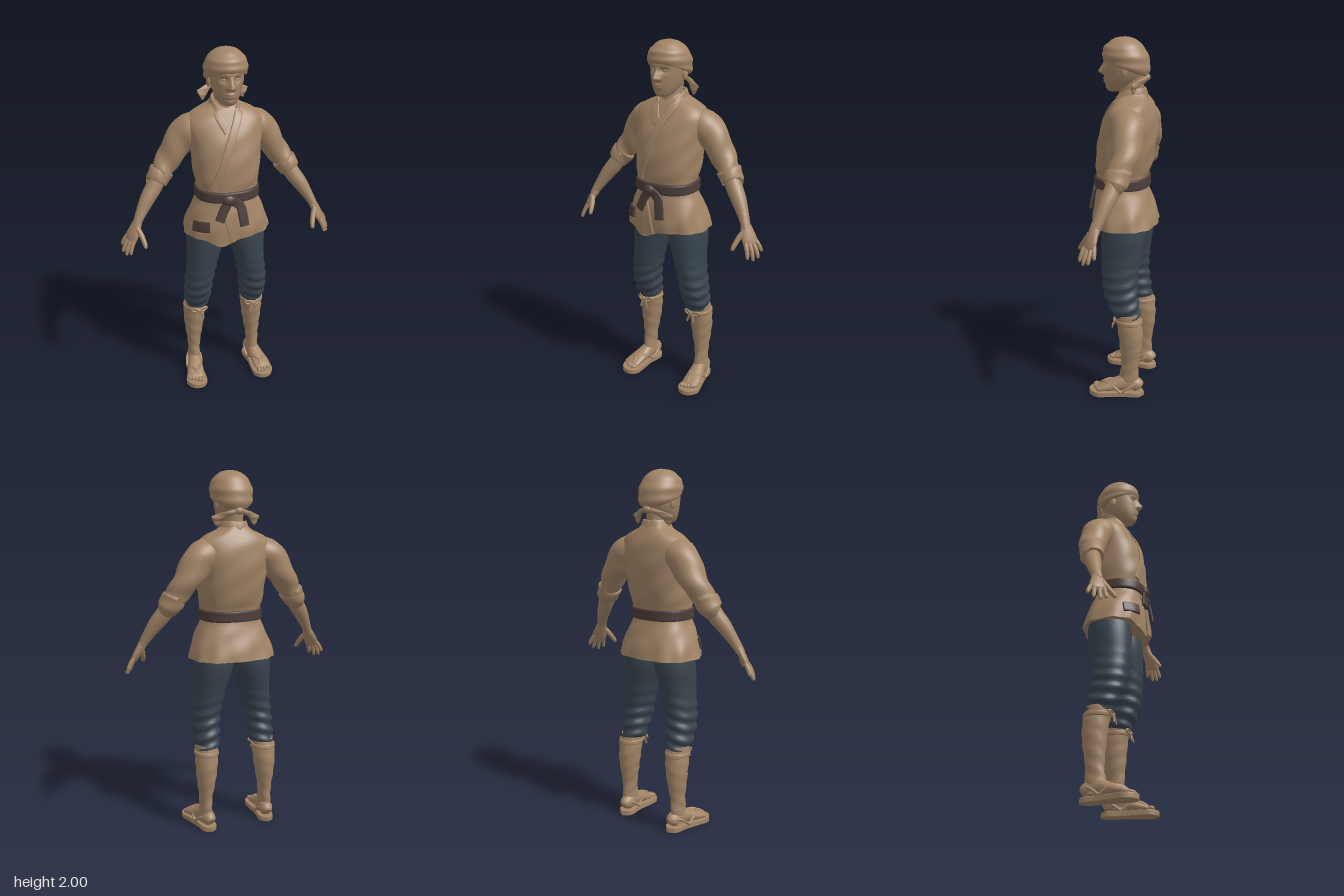
import * as THREE from 'three';

const V = (x, y, z) => new THREE.Vector3(x, y, z);
const material = (name, color) => {
  const m = new THREE.MeshStandardMaterial({ color });
  m.name = name;
  return m;
};
const clamp = THREE.MathUtils.clamp;
const bell = (d, w) => Math.exp(-(d * d) / (w * w));

// Smooth interpolation of a list of cross-section rows
function densify(rows, k) {
  const out = [], at = i => rows[clamp(i, 0, rows.length - 1)];
  for (let i = 0; i < rows.length - 1; i++) for (let s = 0; s < k; s++) {
    const t = s / k;
    out.push(rows[i].map((b, c) => {
      const a = at(i - 1)[c], d = at(i + 1)[c], e = at(i + 2)[c];
      return 0.5 * (2 * b + (d - a) * t + (2 * a - 5 * b + 4 * d - e) * t * t + (3 * b - a - 3 * d + e) * t * t * t);
    }));
  }
  out.push(rows[rows.length - 1]);
  return out;
}

// Rows are [x, y, z, half width, half depth]; depth runs along ref
function loft(rows, { k = 4, n = 24, e = 2, flat = false, ref = V(0, 0, 1), mod } = {}) {
  const D = densify(rows, k), m = D.length, pos = [], idx = [];
  const centre = r => V(r[0], r[1], r[2]);
  const pw = v => Math.sign(v) * Math.pow(Math.abs(v), 2 / e);
  D.forEach((r, i) => {
    const c = centre(r);
    const t = flat ? V(0, 1, 0) : centre(D[Math.min(i + 1, m - 1)]).sub(centre(D[Math.max(i - 1, 0)])).normalize();
    const f = (typeof ref === 'function' ? ref(c) : ref).clone();
    f.addScaledVector(t, -f.dot(t)).normalize();
    const s = t.clone().cross(f);
    for (let j = 0; j < n; j++) {
      const a = (j / n) * Math.PI * 2;
      const out = s.clone().multiplyScalar(r[3] * pw(Math.cos(a))).addScaledVector(f, r[4] * pw(Math.sin(a)));
      const p = c.clone().add(out);
      if (mod) mod(p, out.normalize(), a, i / (m - 1));
      pos.push(p.x, p.y, p.z);
    }
  });
  for (let i = 0; i < m - 1; i++) for (let j = 0; j < n; j++) {
    const a = i * n + j, b = i * n + (j + 1) % n;
    idx.push(a, a + n, b, b, a + n, b + n);
  }
  // End caps with their own vertices
  for (const [row, end] of [[0, false], [m - 1, true]]) {
    const o = pos.length / 3;
    pos.push(...pos.slice(row * n * 3, (row + 1) * n * 3), ...D[row].slice(0, 3));
    for (let j = 0; j < n; j++) {
      const a = o + j, b = o + (j + 1) % n;
      idx.push(o + n, end ? b : a, end ? a : b);
    }
  }
  const g = new THREE.BufferGeometry();
  g.setAttribute('position', new THREE.Float32BufferAttribute(pos, 3));
  g.setIndex(idx);
  g.computeVertexNormals();
  return g;
}

// Horizontal rows [y, half width, front z, back z, centre x]
const level = rows => rows.map(([y, rx, zf, zb, x = 0]) => [x, y, (zf + zb) / 2, rx, (zf - zb) / 2]);

function mirrored(geo) {
  const g = geo.clone().scale(-1, 1, 1);
  const ids = g.index ? Array.from(g.index.array) : Array.from({ length: g.attributes.position.count }, (_, i) => i);
  for (let i = 0; i < ids.length; i += 3) [ids[i + 1], ids[i + 2]] = [ids[i + 2], ids[i + 1]];
  g.setIndex(ids);
  g.computeVertexNormals();
  return g;
}

export function createModel() {
  const model = new THREE.Group();
  model.name = 'villager';
  const tan = material('tan', 0xa28466), navy = material('dark blue', 0x38444d), brown = material('dark brown', 0x4b3d39);
  const add = (name, geo, mat = tan) => {
    const mesh = new THREE.Mesh(geo, mat);
    mesh.name = name;
    model.add(mesh);
  };
  const pair = (name, geo, mat = tan) => {
    add('left' + name, geo, mat);
    add('right' + name, mirrored(geo), mat);
  };
  const ball = (x, y, z, sx, sy, sz) => new THREE.SphereGeometry(1, 16, 12).scale(sx, sy, sz).translate(x, y, z);

  // Jacket body
  const E = 2.4;
  const jacketRows = level([[0.985, 0.24, 0.165, -0.188], [1.05, 0.225, 0.168, -0.175], [1.13, 0.195, 0.158, -0.15],
    [1.195, 0.166, 0.146, -0.128], [1.255, 0.166, 0.148, -0.13], [1.32, 0.178, 0.154, -0.15], [1.42, 0.187, 0.146, -0.168],
    [1.52, 0.198, 0.122, -0.175], [1.6, 0.212, 0.085, -0.165], [1.65, 0.175, 0.055, -0.15], [1.69, 0.095, 0.03, -0.13],
    [1.72, 0.062, 0.005, -0.112]]);
  add('jacket', loft(jacketRows, { k: 5, n: 72, e: E, flat: true, mod: (p, out, a) => {
    const k = clamp((1.12 - p.y) / 0.13, 0, 1);
    p.addScaledVector(out, 0.005 * k * Math.sin(a * 11) + 0.002 * Math.sin(p.y * 45 + a * 5));
    if (p.z > 0) p.y -= 0.045 * k * bell(p.x + 0.06, 0.075);
  } }));

  // Depth and normal of the jacket front, for the parts that lie on it
  const dense = densify(jacketRows, 10);
  const frontZ = (x, y) => {
    const r = dense.reduce((b, q) => Math.abs(q[1] - y) < Math.abs(b[1] - y) ? q : b);
    return r[2] + r[4] * Math.pow(Math.max(0, 1 - Math.pow(Math.abs(x / r[3]), E)), 1 / E);
  };
  const frontNormal = p => {
    if (p.y > 1.67) return V(p.x, 0.02, p.z + 0.05).normalize();
    const h = 0.02, dx = (frontZ(p.x + h, p.y) - frontZ(p.x - h, p.y)) / (2 * h), dy = (frontZ(p.x, p.y + h) - frontZ(p.x, p.y - h)) / (2 * h);
    return V(clamp(-dx, -1.5, 1.5), clamp(-dy, -1, 1), 1).normalize();
  };
  const ribbon = (points, half, thick, lift, lead = []) => loft(
    [...lead, ...points.map(([x, y]) => [x, y, frontZ(x, y) + lift])].map(p => [...p, half, thick]),
    { k: 5, n: 16, e: 4, ref: frontNormal });

  // Crossed lapels, running round the back of the neck
  const collar = s => [[-0.01 * s, 1.712, -0.116], [0.045 * s, 1.715, -0.1], [0.07 * s, 1.71, -0.05], [0.068 * s, 1.69, 0.0]];
  add('outerLapel', ribbon([[0.048, 1.64], [0, 1.54], [-0.05, 1.41], [-0.1, 1.27]], 0.022, 0.008, 0.004, collar(1)));
  add('innerLapel', ribbon([[-0.048, 1.64], [-0.012, 1.57]], 0.022, 0.007, 0.001, collar(-1)));
  add('skirtEdge', ribbon([[-0.06, 1.18], [-0.03, 1.08], [-0.005, 0.965]], 0.015, 0.006, 0.002));
  add('patch', ribbon([[-0.205, 1.055], [-0.17, 1.058], [-0.13, 1.06]], 0.03, 0.008, 0.004), brown);

  // Belt with knot and hanging ends
  add('belt', loft(level([[1.195, 0.168, 0.15, -0.132], [1.2, 0.177, 0.161, -0.14], [1.225, 0.177, 0.162, -0.14],
    [1.25, 0.176, 0.16, -0.14], [1.255, 0.167, 0.15, -0.132]]), { n: 64, e: E, flat: true }), brown);
  add('beltKnot', ball(-0.025, 1.215, 0.165, 0.036, 0.03, 0.02), brown);
  add('beltEndA', ribbon([[-0.025, 1.215], [-0.055, 1.16], [-0.08, 1.1]], 0.026, 0.008, 0.018), brown);
  add('beltEndB', ribbon([[-0.02, 1.22], [0.035, 1.18], [0.05, 1.12], [0.058, 1.065]], 0.026, 0.008, 0.018), brown);

  // Sleeves with turned-up cuffs
  pair('Sleeve', loft([[0.12, 1.575, -0.05, 0.06, 0.08], [0.18, 1.56, -0.062, 0.085, 0.09], [0.235, 1.5, -0.072, 0.083, 0.085],
    [0.295, 1.41, -0.07, 0.069, 0.073], [0.34, 1.345, -0.055, 0.059, 0.063], [0.347, 1.334, -0.053, 0.065, 0.069],
    [0.378, 1.288, -0.04, 0.061, 0.064], [0.382, 1.282, -0.038, 0.052, 0.054]],
  { n: 32, mod: (p, out, a, v) => p.addScaledVector(out, 0.004 * Math.sin(v * 28 + a * 2) * Math.sin(v * Math.PI)) }));

  // Forearms, palms and fingers
  pair('Forearm', loft([[0.35, 1.33, -0.05, 0.042, 0.042], [0.395, 1.255, -0.03, 0.045, 0.044], [0.435, 1.2, -0.01, 0.041, 0.041],
    [0.475, 1.135, 0.012, 0.031, 0.032], [0.5, 1.09, 0.028, 0.024, 0.029], [0.512, 1.065, 0.034, 0.022, 0.029]], { n: 24 }));
  const across = V(-0.6, 0, 0.8);
  pair('Palm', loft([[0.497, 1.095, 0.028, 0.022, 0.025], [0.515, 1.06, 0.037, 0.021, 0.035], [0.535, 1.02, 0.045, 0.018, 0.043],
    [0.549, 0.992, 0.048, 0.013, 0.041], [0.553, 0.985, 0.048, 0.005, 0.034]], { n: 20, ref: across }));
  const fingers = [['IndexFinger', [0.53, 1.0, 0.078], [0.557, 0.925, 0.1]], ['MiddleFinger', [0.544, 0.997, 0.058], [0.578, 0.913, 0.075]],
    ['RingFinger', [0.553, 0.998, 0.036], [0.592, 0.922, 0.044]], ['LittleFinger', [0.558, 1.01, 0.018], [0.592, 0.95, 0.01]],
    ['Thumb', [0.508, 1.06, 0.055], [0.476, 0.965, 0.124]]];
  for (const [name, a, b] of fingers) {
    const r = name === 'Thumb' ? 0.0145 : 0.0115;
    const bend = name === 'Thumb' ? -0.006 : 0.005;
    pair(name, loft([[0, r], [0.35, r * 1.02], [0.75, r * 0.9], [0.95, r * 0.65], [1, r * 0.2]].map(([t, w]) =>
      [...a.map((v, i) => v + (b[i] - v) * t + (i === 0 ? bend * Math.sin(t * Math.PI) : 0)), w, w]), { k: 3, n: 12, ref: across }));
  }

  // Trousers
  pair('TrouserLeg', loft(level([[0.475, 0.058, 0.012, -0.118, 0.17], [0.485, 0.065, 0.024, -0.124, 0.17], [0.53, 0.072, 0.045, -0.122, 0.165],
    [0.6, 0.075, 0.074, -0.112, 0.163], [0.68, 0.079, 0.088, -0.108, 0.155], [0.8, 0.088, 0.098, -0.12, 0.135],
    [0.93, 0.109, 0.102, -0.14, 0.115], [1.04, 0.106, 0.09, -0.135, 0.105]]),
  { k: 6, n: 36, e: 2.1, flat: true, mod: (p, out, a) =>
    p.addScaledVector(out, 0.006 * clamp((0.85 - p.y) / 0.2, 0, 1) * Math.sin(p.y * 95 + 2.2 * Math.sin(a + 1))) }), navy);

  // Shins with tied leg wraps
  pair('Shin', loft(level([[0.04, 0.036, 0.01, -0.125, 0.184], [0.12, 0.034, -0.015, -0.125, 0.184], [0.2, 0.038, -0.024, -0.125, 0.183],
    [0.3, 0.053, -0.016, -0.141, 0.18], [0.4, 0.063, -0.005, -0.145, 0.177], [0.5, 0.06, 0.012, -0.126, 0.172]]),
  { n: 28, flat: true, mod: (p, out, a) => p.addScaledVector(out, 0.002 * Math.sin(p.y * 80 + a * 2)) }));
  pair('LegTie', loft(level([[0.44, 0.062, 0, -0.14, 0.175], [0.444, 0.068, 0.007, -0.145, 0.175], [0.462, 0.068, 0.01, -0.142, 0.175],
    [0.466, 0.062, 0.004, -0.138, 0.175]]), { n: 28, flat: true }));
  pair('BowKnot', ball(0.165, 0.455, 0.016, 0.012, 0.012, 0.012));
  for (const s of [-1, 1]) {
    const side = s < 0 ? 'Inner' : 'Outer';
    pair(side + 'BowLoop', new THREE.TorusGeometry(0.014, 0.006, 8, 16).scale(1.5, 0.8, 1).rotateZ(s * 0.2).rotateY(s * 0.3)
      .translate(0.165 + s * 0.026, 0.46, 0.014));
    pair(side + 'BowTail', loft([[0.165, 0.455, 0.018, 0.005, 0.004], [0.165 + s * 0.014, 0.435, 0.024, 0.006, 0.004],
      [0.165 + s * 0.022, 0.41, 0.028, 0.007, 0.004]], { n: 10 }));
  }

  // Feet and sandals
  pair('Foot', loft([[0.176, 0.055, -0.14, 0.02, 0.022], [0.178, 0.065, -0.12, 0.036, 0.04], [0.184, 0.075, -0.06, 0.038, 0.05],
    [0.194, 0.064, 0, 0.044, 0.038], [0.205, 0.05, 0.06, 0.051, 0.026], [0.21, 0.042, 0.1, 0.048, 0.016], [0.212, 0.038, 0.115, 0.036, 0.008]],
  { n: 24, ref: V(0, 1, 0) }));
  for (let i = 0; i < 5; i++)
    pair('Toe' + (i + 1), ball(0.176 + i * 0.0185, 0.042, 0.122 - 0.0022 * i * i, 0.0125 - i * 0.0008, 0.012, 0.02));
  const outline = [[0.176, -0.152], [0.215, -0.125], [0.226, -0.05], [0.25, 0.04], [0.264, 0.1], [0.235, 0.146], [0.19, 0.156],
    [0.152, 0.125], [0.148, 0.06], [0.15, -0.02], [0.138, -0.115]].map(([x, z]) => new THREE.Vector2(x, -z));
  const sole = new THREE.Shape().setFromPoints(new THREE.SplineCurve([...outline, outline[0]]).getPoints(48).slice(0, -1));
  pair('SandalSole', new THREE.ExtrudeGeometry(sole, { depth: 0.022, bevelThickness: 0.004, bevelSize: 0.003, bevelSegments: 2 })
    .rotateX(-Math.PI / 2).translate(0, 0.004, 0));
  const strap = pts => new THREE.TubeGeometry(new THREE.CatmullRomCurve3(pts.map(p => V(...p))), 20, 0.008, 8);
  pair('OuterStrap', strap([[0.192, 0.035, 0.118], [0.2, 0.07, 0.078], [0.232, 0.072, 0.025], [0.238, 0.03, -0.035]]));
  pair('InnerStrap', strap([[0.192, 0.035, 0.118], [0.192, 0.072, 0.078], [0.166, 0.078, 0.025], [0.148, 0.03, -0.035]]));
  pair('HeelStrap', strap([[0.238, 0.03, -0.035], [0.222, 0.07, -0.09], [0.18, 0.085, -0.138], [0.143, 0.07, -0.09], [0.148, 0.03, -0.035]]));

  // Neck and head, with the face shaped by soft bumps
  add('neck', loft(level([[1.56, 0.07, 0.085, -0.1], [1.65, 0.058, 0.042, -0.1], [1.73, 0.053, 0.03, -0.1], [1.83, 0.055, 0.02, -0.105]]),
    { n: 32, flat: true }));
  add('head', loft(level([[1.712, 0.024, 0.085, 0.03], [1.722, 0.042, 0.096, 0.0], [1.755, 0.064, 0.108, -0.06], [1.8, 0.08, 0.113, -0.1],
    [1.86, 0.09, 0.115, -0.118], [1.92, 0.092, 0.105, -0.118], [1.965, 0.05, 0.06, -0.07]]),
  { k: 10, n: 120, e: 2.1, flat: true, mod: p => {
    if (p.z < 0.02) return;
    const x = Math.abs(p.x), y = p.y;
    const bridge = clamp((1.872 - y) / 0.055, 0, 1) * clamp((y - 1.798) / 0.014, 0, 1);
    p.z += 0.034 * bell(x, 0.011 + 0.005 * bridge) * bridge
      + 0.01 * bell(x - 0.016, 0.009) * bell(y - 1.808, 0.01)
      - 0.014 * bell(x - 0.034, 0.021) * bell(y - 1.853, 0.014)
      + 0.004 * bell(x - 0.035, 0.03) * bell(y - 1.88, 0.01)
      + 0.009 * bell(x, 0.022) * (bell(y - 1.779, 0.006) + bell(y - 1.765, 0.006))
      + 0.005 * bell(x, 0.02) * bell(y - 1.733, 0.012);
  } }));
  pair('Eye', ball(0.034, 0.0, 0, 0.014, 0.008, 0.008).translate(0, 1.853, 0.093));
  pair('Ear', ball(0.09, 1.825, -0.015, 0.011, 0.032, 0.02));

  // Head scarf, lower at the back, knotted at the nape
  add('headScarf', loft(level([[1.842, 0.094, 0.108, -0.122], [1.846, 0.108, 0.119, -0.132], [1.872, 0.115, 0.121, -0.136],
    [1.92, 0.112, 0.113, -0.13], [1.962, 0.088, 0.082, -0.1], [1.988, 0.055, 0.05, -0.062], [1.998, 0.02, 0.016, -0.024], [2, 0.004, 0.0, -0.008]]),
  { k: 6, n: 64, flat: true, mod: (p, out, a, v) => {
    p.addScaledVector(out, 0.003 * Math.sin(p.y * 120 + 3 * Math.sin(a)) * (1 - v));
    p.y += 0.42 * (p.z + 0.01) * (1 - v) ** 1.3;
  } }));
  add('scarfKnot', ball(0, 1.79, -0.122, 0.026, 0.02, 0.018));
  pair('ScarfTail', loft([[0.005, 1.79, -0.122, 0.013, 0.011], [0.05, 1.778, -0.112, 0.014, 0.01], [0.085, 1.762, -0.088, 0.02, 0.009],
    [0.118, 1.738, -0.072, 0.031, 0.008], [0.126, 1.733, -0.068, 0.027, 0.004]],
  { n: 16, mod: (p, out, a, v) => { p.z += 0.004 * Math.sin(p.y * 200) * v; } }));
  return model;
}
